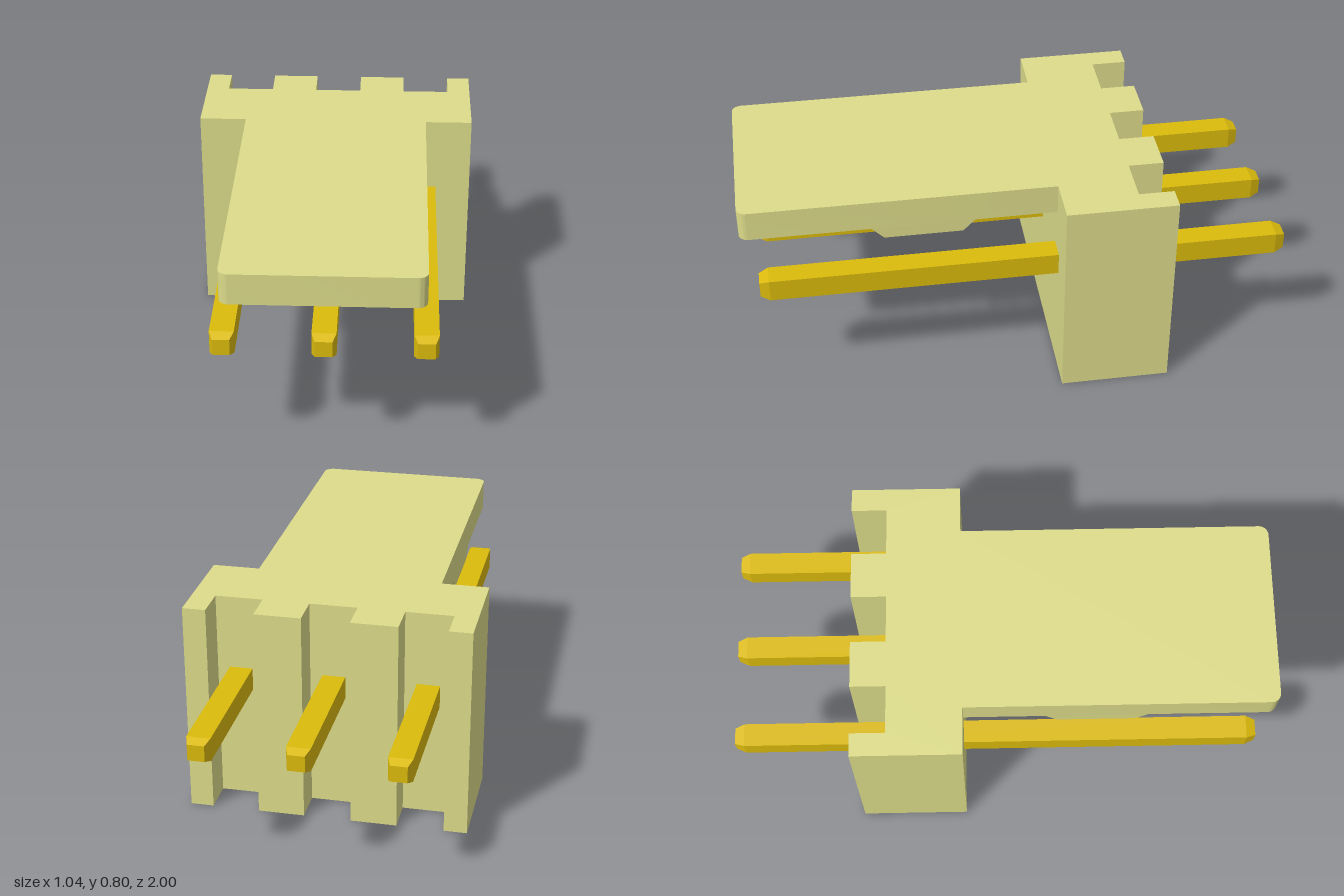
import * as THREE from 'three';
import { toCreasedNormals } from 'three/addons/utils/BufferGeometryUtils.js';

const HALF_WIDTH = 0.52, TOP = 0.8;
const BODY_FRONT = -0.145, BODY_BACK = -0.55, NOTCH_FLOOR = -0.42;
const PITCH = 0.347, NOTCH_HALF = 0.0875;
const TONGUE_HALF = 0.345, TONGUE_BOTTOM = 0.685;

// Extrudes a plan outline drawn as (x, -z) upwards from y0 to y1
function extrudePlan(shape, y0, y1) {
  const geo = new THREE.ExtrudeGeometry(shape, { depth: y1 - y0, bevelEnabled: false, curveSegments: 8 });
  geo.rotateX(-Math.PI / 2).translate(0, y0, 0);
  return toCreasedNormals(geo, Math.PI / 6);
}

// Square pin along z with a tapered tip at each end
function pinGeometry(z0, z1) {
  const r = 0.0425 * Math.SQRT2, tip = 0.03 * Math.SQRT2, taper = 0.035;
  const profile = [
    [0, z0], [tip, z0], [r, z0 + taper],
    [r, z1 - taper], [tip, z1], [0, z1],
  ].map(([x, y]) => new THREE.Vector2(x, y));
  return new THREE.LatheGeometry(profile, 4, Math.PI / 4).rotateX(Math.PI / 2);
}

export function createModel() {
  const group = new THREE.Group();
  const plastic = new THREE.MeshStandardMaterial({ color: 0xdddc8a });
  const metal = new THREE.MeshStandardMaterial({ color: 0xdcbb0c, flatShading: true });
  const add = (name, geometry, material) => {
    const mesh = new THREE.Mesh(geometry, material);
    mesh.name = name;
    group.add(mesh);
    return mesh;
  };

  // Housing block with a vertical notch behind every pin
  const body = new THREE.Shape();
  body.moveTo(-HALF_WIDTH, -BODY_FRONT);
  body.lineTo(HALF_WIDTH, -BODY_FRONT);
  body.lineTo(HALF_WIDTH, -BODY_BACK);
  for (const i of [1, 0, -1]) {
    const right = i * PITCH + NOTCH_HALF, left = i * PITCH - NOTCH_HALF;
    body.lineTo(right, -BODY_BACK);
    body.lineTo(right, -NOTCH_FLOOR);
    body.lineTo(left, -NOTCH_FLOOR);
    body.lineTo(left, -BODY_BACK);
  }
  body.lineTo(-HALF_WIDTH, -BODY_BACK);
  body.closePath();
  add('housing', extrudePlan(body, 0, TOP), plastic);

  // Locking tongue with rounded front corners
  const r = 0.035;
  const tongue = new THREE.Shape();
  tongue.moveTo(TONGUE_HALF, -BODY_FRONT);
  tongue.lineTo(-TONGUE_HALF, -BODY_FRONT);
  tongue.lineTo(-TONGUE_HALF, -1 + r);
  tongue.absarc(-TONGUE_HALF + r, -1 + r, r, Math.PI, Math.PI * 1.5, false);
  tongue.lineTo(TONGUE_HALF - r, -1);
  tongue.absarc(TONGUE_HALF - r, -1 + r, r, -Math.PI / 2, 0, false);
  tongue.closePath();
  add('lockingTongue', extrudePlan(tongue, TONGUE_BOTTOM, TOP), plastic);

  // Ramped latch ridge beneath the tongue, profile drawn as (z, y)
  const ridge = new THREE.Shape([
    [0.155, TONGUE_BOTTOM], [0.2, 0.64], [0.485, 0.64], [0.53, TONGUE_BOTTOM],
  ].map(([z, y]) => new THREE.Vector2(z, y)));
  const ridgeGeo = new THREE.ExtrudeGeometry(ridge, { depth: TONGUE_HALF * 2, bevelEnabled: false });
  ridgeGeo.rotateY(-Math.PI / 2).translate(TONGUE_HALF, 0, 0);
  add('latchRidge', ridgeGeo, plastic);

  // Three contact pins running through the housing
  const pin = pinGeometry(-1, 0.945);
  ['rightPin', 'centrePin', 'leftPin'].forEach((name, i) => {
    add(name, pin, metal).position.set((i - 1) * PITCH, 0.478, 0);
  });

  return group;
}
